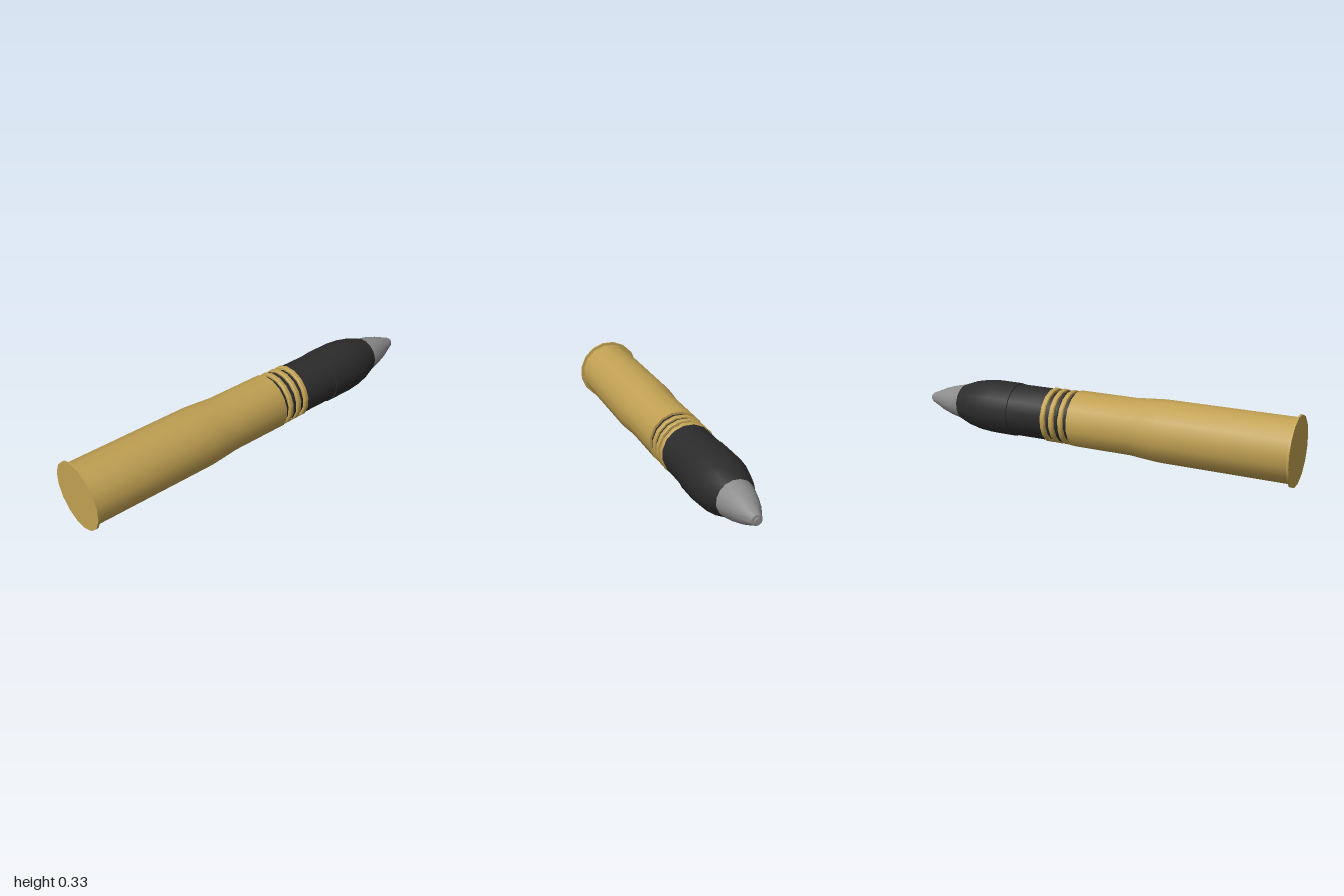
import * as THREE from 'three';
import { toCreasedNormals } from 'three/addons/utils/BufferGeometryUtils.js';

const SIDES = 16;
const AXIS_Y = 0.165;

function material(name, color) {
  const m = new THREE.MeshStandardMaterial({ color });
  m.name = name;
  return m;
}

// Turned part lying along z; profile points are [radius, z], from base to tip
function turned(name, profile, mat) {
  const points = profile.map(([r, z]) => new THREE.Vector2(r, -z));
  const geo = new THREE.LatheGeometry(points, SIDES, Math.PI / SIDES);
  geo.rotateX(-Math.PI / 2);
  const mesh = new THREE.Mesh(toCreasedNormals(geo, 0.6), mat);
  mesh.name = name;
  mesh.position.y = AXIS_Y;
  return mesh;
}

export function createModel() {
  const brass = material('brass', 0xc0a052);
  const dark = material('dark steel', 0x2b2b2b);
  const steel = material('grey steel', 0x8c8c8c);

  const model = new THREE.Group();
  model.name = 'shell';

  // Cartridge case: rimmed base, straight body, tapered neck
  model.add(turned('case', [
    [0, 1], [0.168, 1], [0.168, 0.99], [0.154, 0.988], [0.154, 0.35],
    [0.149, 0.28], [0.142, 0.2], [0.142, -0.11], [0.12, -0.11],
  ], brass));

  // Projectile body with the raised shoulder and curved nose
  model.add(turned('projectileBody', [
    [0.12, -0.1], [0.132, -0.112], [0.132, -0.124], [0.125, -0.128], [0.125, -0.164],
    [0.131, -0.167], [0.131, -0.18], [0.125, -0.184], [0.125, -0.255],
    [0.133, -0.257], [0.133, -0.455], [0.138, -0.456], [0.138, -0.58],
    [0.132, -0.65], [0.117, -0.72], [0.092, -0.787],
  ], dark));

  // Driving bands with bevelled edges
  for (const z of [-0.147, -0.198, -0.246]) {
    model.add(turned('drivingBand', [
      [0.122, z + 0.014], [0.135, z + 0.013], [0.139, z + 0.008],
      [0.139, z - 0.008], [0.135, z - 0.013], [0.122, z - 0.014],
    ], brass));
  }

  // Fuze cone with a small end stud
  model.add(turned('fuze', [
    [0.092, -0.787], [0.078, -0.85], [0.059, -0.91], [0.03, -0.975],
    [0.025, -0.988], [0.014, -0.99], [0.014, -1], [0, -1],
  ], steel));

  return model;
}
